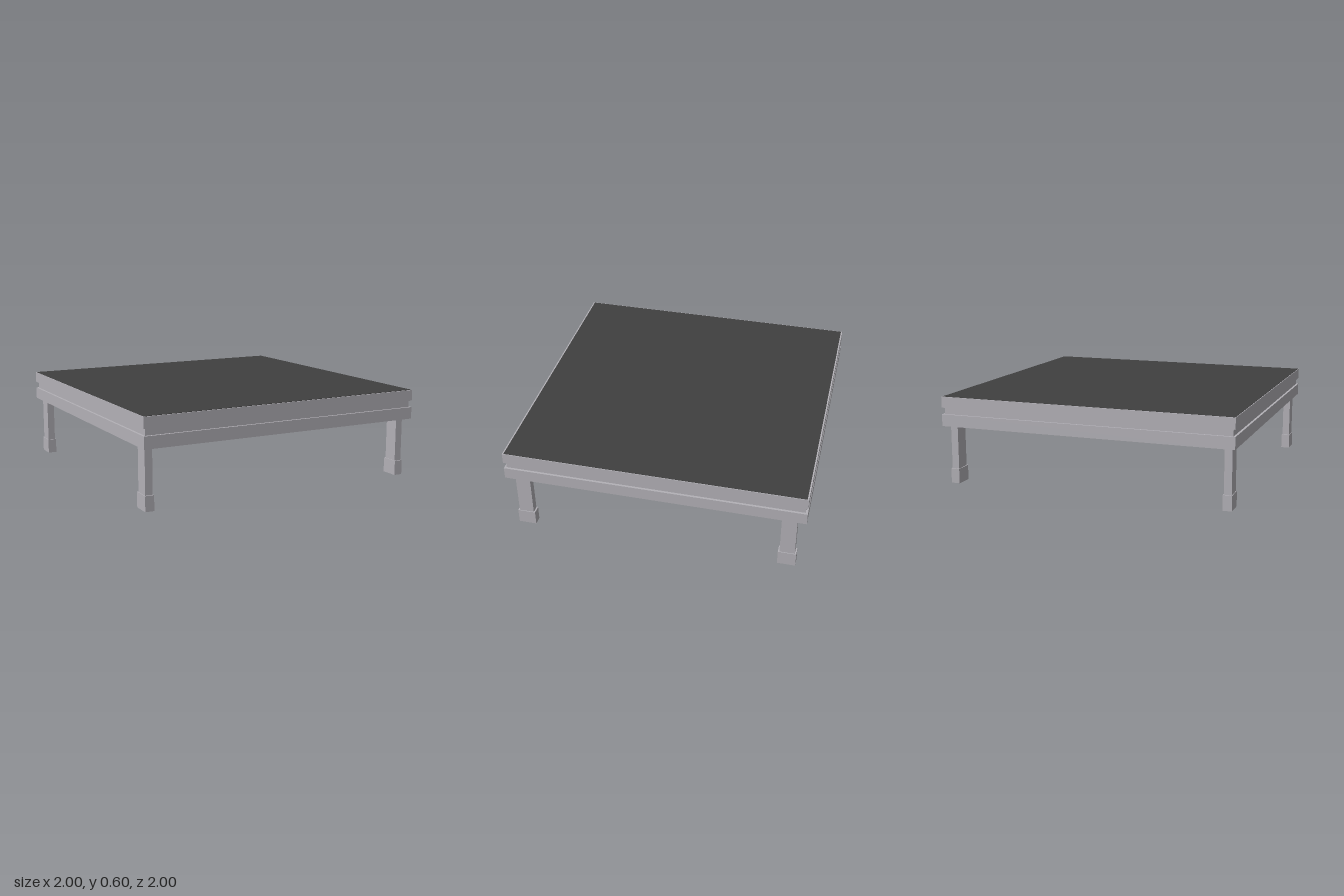
import * as THREE from 'three';

export function createModel() {
  const model = new THREE.Group();
  model.name = 'stagePlatform';

  const metal = new THREE.MeshStandardMaterial({ color: 0xb3b1b7 });
  metal.name = 'brushed grey metal';
  const board = new THREE.MeshStandardMaterial({ color: 0x404040 });
  board.name = 'dark deck board';

  const box = (name, w, y0, y1, d, x, z, material, parent = model) => {
    const mesh = new THREE.Mesh(new THREE.BoxGeometry(w, y1 - y0, d), material);
    mesh.name = name;
    mesh.position.set(x, (y0 + y1) / 2, z);
    parent.add(mesh);
  };

  // Square outline with half side s, used for frame rings
  const square = (s, Type) => new Type([[-s, -s], [s, -s], [s, s], [-s, s]]
    .map(([x, y]) => new THREE.Vector2(x, y)));

  // Frame: two rails with a recessed groove between them, open in the middle
  const frame = new THREE.Group();
  frame.name = 'frame';
  const inner = 0.95;
  for (const [name, outer, y0, y1] of [
    ['lowerRail', 1, 0.4, 0.48],
    ['grooveRail', 0.985, 0.48, 0.525],
    ['upperRail', 1, 0.525, 0.598],
  ]) {
    const shape = square(outer, THREE.Shape);
    shape.holes.push(square(inner, THREE.Path));
    const geometry = new THREE.ExtrudeGeometry(shape, { depth: y1 - y0, bevelEnabled: false });
    geometry.rotateX(-Math.PI / 2);
    const ring = new THREE.Mesh(geometry, metal);
    ring.name = name;
    ring.position.y = y0;
    frame.add(ring);
  }
  model.add(frame);

  // Deck board, let into the frame with a narrow metal rim showing
  box('deck', 1.99, 0.565, 0.6, 1.98, 0, 0, board);

  // Cross beam under the middle of the deck
  box('crossBeam', 1.9, 0.4, 0.565, 0.05, 0, 0, metal);

  // Four legs with wider feet, tucked inside the frame corners
  for (const sx of [-1, 1]) {
    for (const sz of [-1, 1]) {
      const leg = new THREE.Group();
      leg.name = (sz > 0 ? 'front' : 'back') + (sx > 0 ? 'Left' : 'Right') + 'Leg';
      box('post', 0.05, 0.1, 0.565, 0.1, 0, 0, metal, leg);
      box('foot', 0.06, 0, 0.1, 0.12, 0, 0, metal, leg);
      leg.position.set(sx * 0.945, 0, sz * 0.89);
      model.add(leg);
    }
  }

  return model;
}
